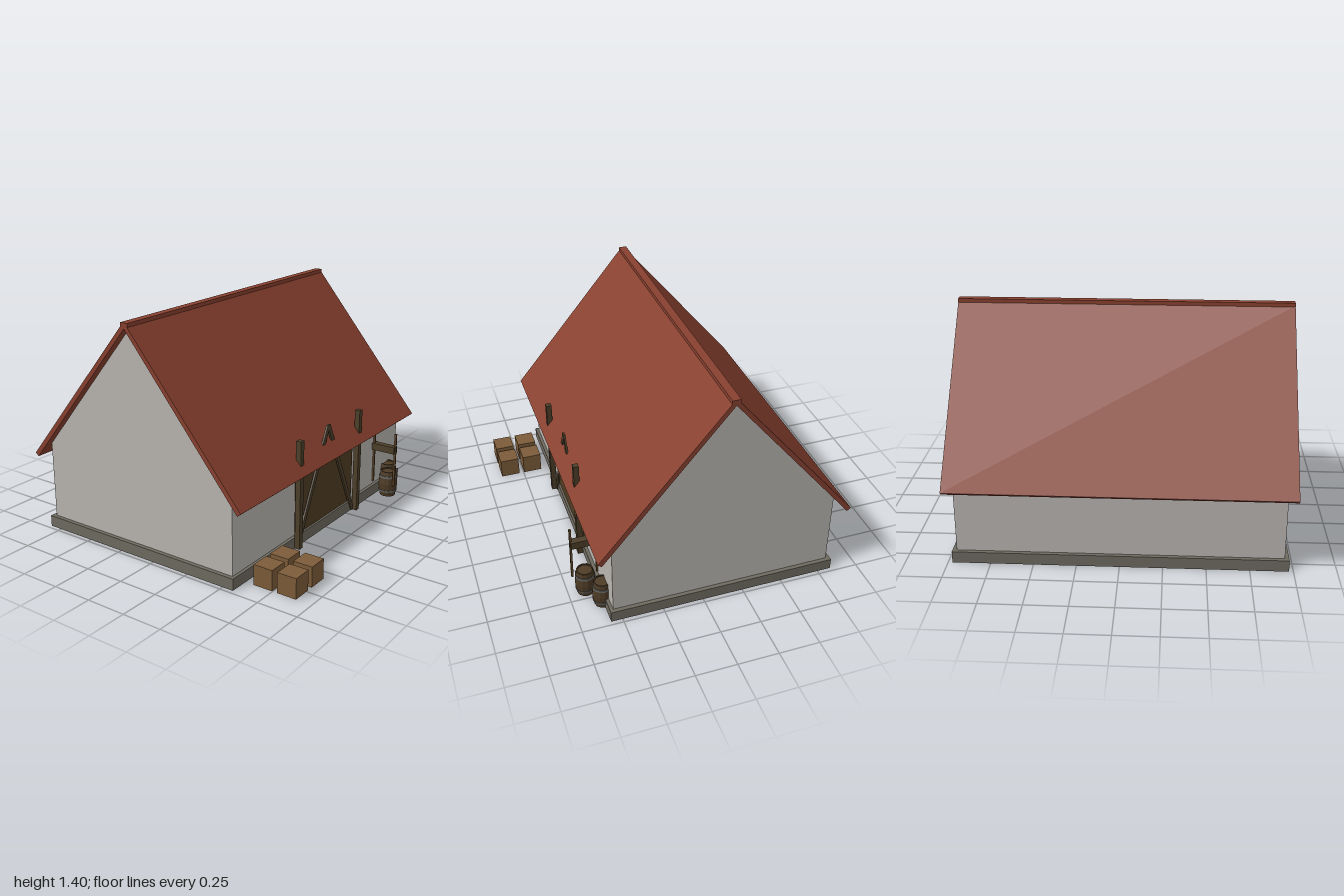
import * as THREE from 'three';

const material = (name, color) => {
  const m = new THREE.MeshStandardMaterial({ color });
  m.name = name;
  return m;
};

export function createModel() {
  const mats = {
    roof: material('red roof', 0x88402f),
    plaster: material('pale plaster', 0xb8b5b0),
    stone: material('grey stone', 0x6e6a60),
    timber: material('dark timber', 0x4d3f2a),
    door: material('door wood', 0x4f3c22),
    crate: material('crate wood', 0x7c5b39),
    pole: material('pole wood', 0x644a2b),
    barrel: material('barrel wood', 0x4e3c26),
    hoop: material('iron hoop', 0x62625f),
  };
  mats.barrel.flatShading = mats.hoop.flatShading = true;

  const group = new THREE.Group();
  group.name = 'barn';
  const ridgeZ = -0.13;

  const add = (name, geometry, mat, x = 0, y = 0, z = 0, parent = group) => {
    const mesh = new THREE.Mesh(geometry, mat);
    mesh.name = name;
    mesh.position.set(x, y, z);
    parent.add(mesh);
    return mesh;
  };
  // Box from its minimum and maximum corners
  const box = (name, mat, [x0, y0, z0], [x1, y1, z1]) =>
    add(name, new THREE.BoxGeometry(x1 - x0, y1 - y0, z1 - z0), mat,
      (x0 + x1) / 2, (y0 + y1) / 2, (z0 + z1) / 2);
  const extrude = (points, depth) => new THREE.ExtrudeGeometry(
    new THREE.Shape(points.map(p => new THREE.Vector2(...p))), { depth, bevelEnabled: false });
  // End profile swept across the full width of the building
  const sweepAcross = (points, halfWidth) =>
    extrude(points, 2 * halfWidth).rotateY(Math.PI / 2).translate(-halfWidth, 0, ridgeZ);

  // Foundation and gabled walls
  box('foundation', mats.stone, [-0.975, 0, -0.835], [0.975, 0.07, 0.57]);
  add('walls', sweepAcross(
    [[-0.68, 0.07], [0.68, 0.07], [0.68, 0.55], [0, 1.364], [-0.68, 0.55]], 0.95), mats.plaster);

  // Steep roof with square-cut eaves and a ridge cap
  add('roof', sweepAcross([
    [-0.773, 0.483], [-0.75, 0.464], [0, 1.366], [0.75, 0.464],
    [0.773, 0.483], [0.02, 1.383], [-0.02, 1.383]], 1), mats.roof);
  box('ridgeCap', mats.roof, [-1, 1.372, ridgeZ - 0.025], [1, 1.4, ridgeZ + 0.025]);

  // Doorway: panel, side posts and braces meeting at a peak
  box('door', mats.door, [-0.33, 0.06, 0.548], [0.33, 0.545, 0.557]);
  for (const side of [-1, 1]) {
    const cx = side * 0.341;
    box('doorPost', mats.timber, [cx - 0.017, 0, 0.57], [cx + 0.017, 0.68, 0.604]);
    const outline = [[0.328, 0], [0.328, 0.03], [0.016, 0.675], [0, 0.675], [0, 0.64], [0.31, 0]]
      .map(([x, y]) => [side * x, y]);
    add('doorBrace', extrude(outline, 0.012), mats.timber, 0, 0, 0.564);
  }

  // Four crates beside the door
  for (const x of [-0.795, -0.636])
    for (const z of [0.84, 0.685])
      add('crate', new THREE.BoxGeometry(0.122, 0.125, 0.122), mats.crate, x, 0.0625, z);

  // Barrels with bulging sides, recessed lids and two hoops
  const barrelProfile = [[0, 0], [0.05, 0], [0.058, 0.04], [0.062, 0.085],
    [0.058, 0.13], [0.051, 0.172], [0.044, 0.172], [0.044, 0.164], [0, 0.164]]
    .map(p => new THREE.Vector2(...p));
  for (const [x, z] of [[0.682, 0.643], [0.805, 0.572]]) {
    const barrel = new THREE.Group();
    barrel.name = 'barrel';
    barrel.position.set(x, 0, z);
    add('staves', new THREE.LatheGeometry(barrelProfile, 12), mats.barrel, 0, 0, 0, barrel);
    add('lowerHoop', new THREE.CylinderGeometry(0.061, 0.059, 0.014, 12), mats.hoop, 0, 0.036, 0, barrel);
    add('upperHoop', new THREE.CylinderGeometry(0.059, 0.061, 0.014, 12), mats.hoop, 0, 0.136, 0, barrel);
    group.add(barrel);
  }

  // Rail held by two thin poles
  box('rail', mats.timber, [0.611, 0.32, 0.55], [0.656, 0.366, 0.71]);
  box('frontPole', mats.pole, [0.627, 0.09, 0.702], [0.64, 0.455, 0.715]);
  box('backPole', mats.pole, [0.627, 0.09, 0.55], [0.64, 0.48, 0.561]);

  return group;
}
